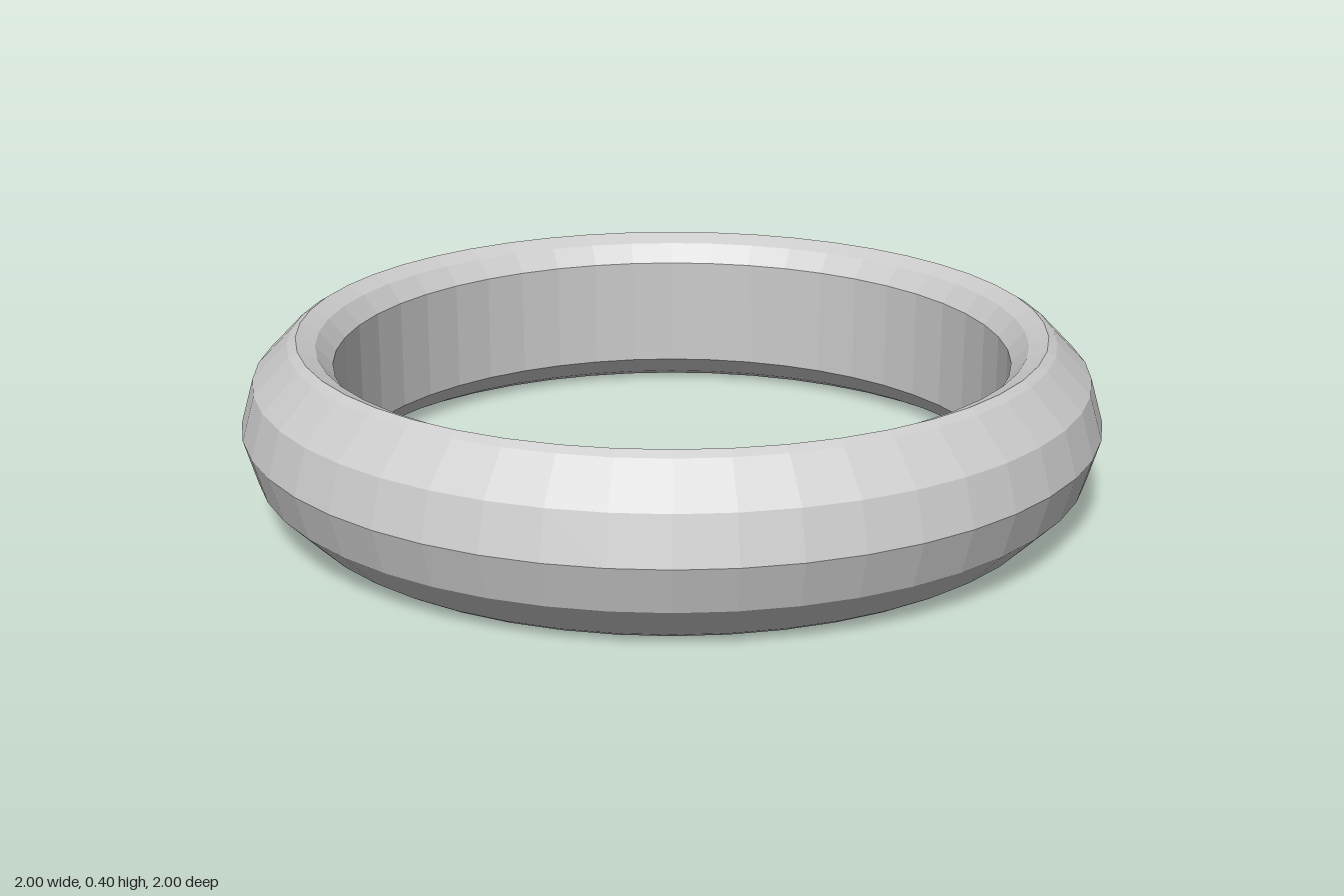
import * as THREE from 'three';

export function createModel() {
  const group = new THREE.Group();
  group.name = 'ring';

  // Upper half of the cross-section [radius, height above mid-plane], outside to inside
  const upper = [[1, 0], [0.97, 0.104], [0.888, 0.188], [0.868, 0.2], [0.824, 0.18], [0.786, 0.135]];
  // Lower half mirrors it; the loop runs counterclockwise so faces point outward
  const lower = upper.slice(1).reverse().map(([r, h]) => [r, -h]);
  const loop = [...upper, ...lower, upper[0]];
  const profile = loop.map(([r, h]) => new THREE.Vector2(r, 0.2 + h));

  // Faceted band swept around the vertical axis
  const band = new THREE.Mesh(
    new THREE.LatheGeometry(profile, 48),
    new THREE.MeshStandardMaterial({ color: 0xcccccc, flatShading: true })
  );
  band.name = 'band';
  group.add(band);
  return group;
}
